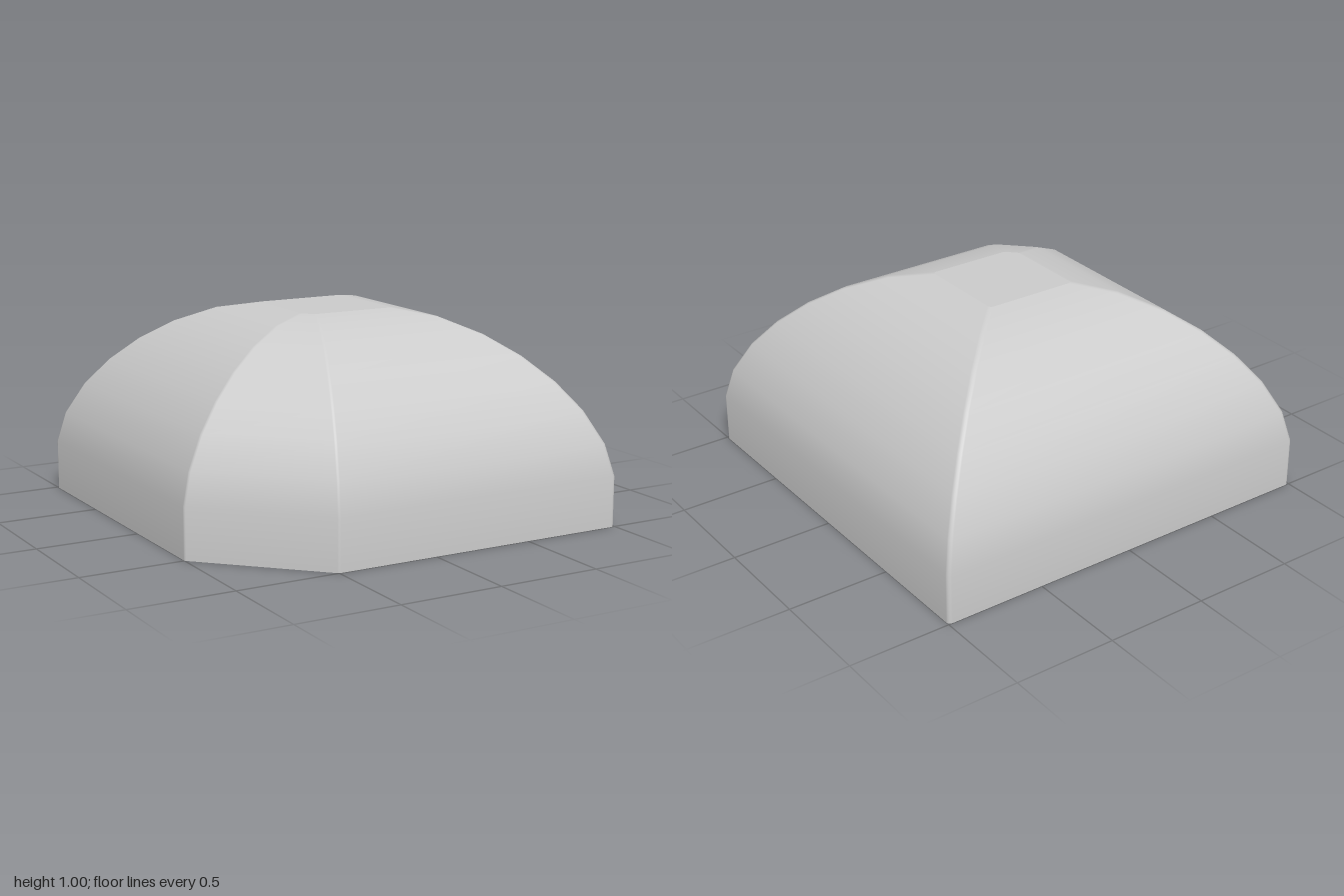
import * as THREE from 'three';

// Wall profile: [inset half-width, height], from the rim to the flat roof
const PROFILE = [[1, 0], [1, 0.245], [0.965, 0.396], [0.89, 0.55], [0.795, 0.68],
  [0.68, 0.795], [0.55, 0.89], [0.396, 0.965], [0.235, 1]];
const ROUND = 0.02, STEPS = 4;

// Plan outline at half-width r: a square with one cut corner, all corners slightly rounded
function outline(r) {
  const q = r - ROUND;
  const c = 1.5 - (1 - q) * Math.SQRT2 - q;
  const corners = [[q, -q, -90, 0], [q, q, 0, 90], [-c, q, 90, 135], [-q, c, 135, 180], [-q, -q, 180, 270]];
  const points = [];
  for (const [x, z, from, to] of corners) {
    for (let k = 0; k <= STEPS; k++) {
      const a = THREE.MathUtils.degToRad(from + (to - from) * k / STEPS);
      const nx = Math.cos(a), nz = Math.sin(a);
      points.push({ x: x + ROUND * nx, z: z + ROUND * nz, nx, nz });
    }
  }
  return points;
}

function buildGeometry(position, normal, index) {
  const g = new THREE.BufferGeometry();
  g.setAttribute('position', new THREE.Float32BufferAttribute(position, 3));
  g.setAttribute('normal', new THREE.Float32BufferAttribute(normal, 3));
  g.setIndex(index);
  return g;
}

// Curved walls: one outline per profile point, smooth normals from the profile slope
function wallGeometry() {
  const position = [], normal = [], index = [];
  const slope = (i) => Math.atan2(PROFILE[i][0] - PROFILE[i + 1][0], PROFILE[i + 1][1] - PROFILE[i][1]);
  const last = PROFILE.length - 1;
  const n = outline(1).length;
  PROFILE.forEach(([r, y], i) => {
    const tilt = (slope(Math.max(i - 1, 0)) + slope(Math.min(i, last - 1))) / 2;
    for (const p of outline(r)) {
      position.push(p.x, y, p.z);
      normal.push(p.nx * Math.cos(tilt), Math.sin(tilt), p.nz * Math.cos(tilt));
    }
    if (i === last) return;
    for (let j = 0; j < n; j++) {
      const a = i * n + j, b = i * n + (j + 1) % n;
      index.push(a, a + n, b, b, a + n, b + n);
    }
  });
  return buildGeometry(position, normal, index);
}

// Flat roof: a fan closing the last outline
function roofGeometry() {
  const [r, y] = PROFILE[PROFILE.length - 1];
  const ring = outline(r);
  const position = [0, y, 0], normal = [0, 1, 0], index = [];
  ring.forEach((p, j) => {
    position.push(p.x, y, p.z);
    normal.push(0, 1, 0);
    index.push(0, (j + 1) % ring.length + 1, j + 1);
  });
  return buildGeometry(position, normal, index);
}

export function createModel() {
  const group = new THREE.Group();
  group.name = 'domeShell';
  const material = new THREE.MeshStandardMaterial({ color: 0xcccccc, side: THREE.DoubleSide });
  const walls = new THREE.Mesh(wallGeometry(), material);
  walls.name = 'curvedWalls';
  const roof = new THREE.Mesh(roofGeometry(), material);
  roof.name = 'flatRoof';
  group.add(walls, roof);
  return group;
}
